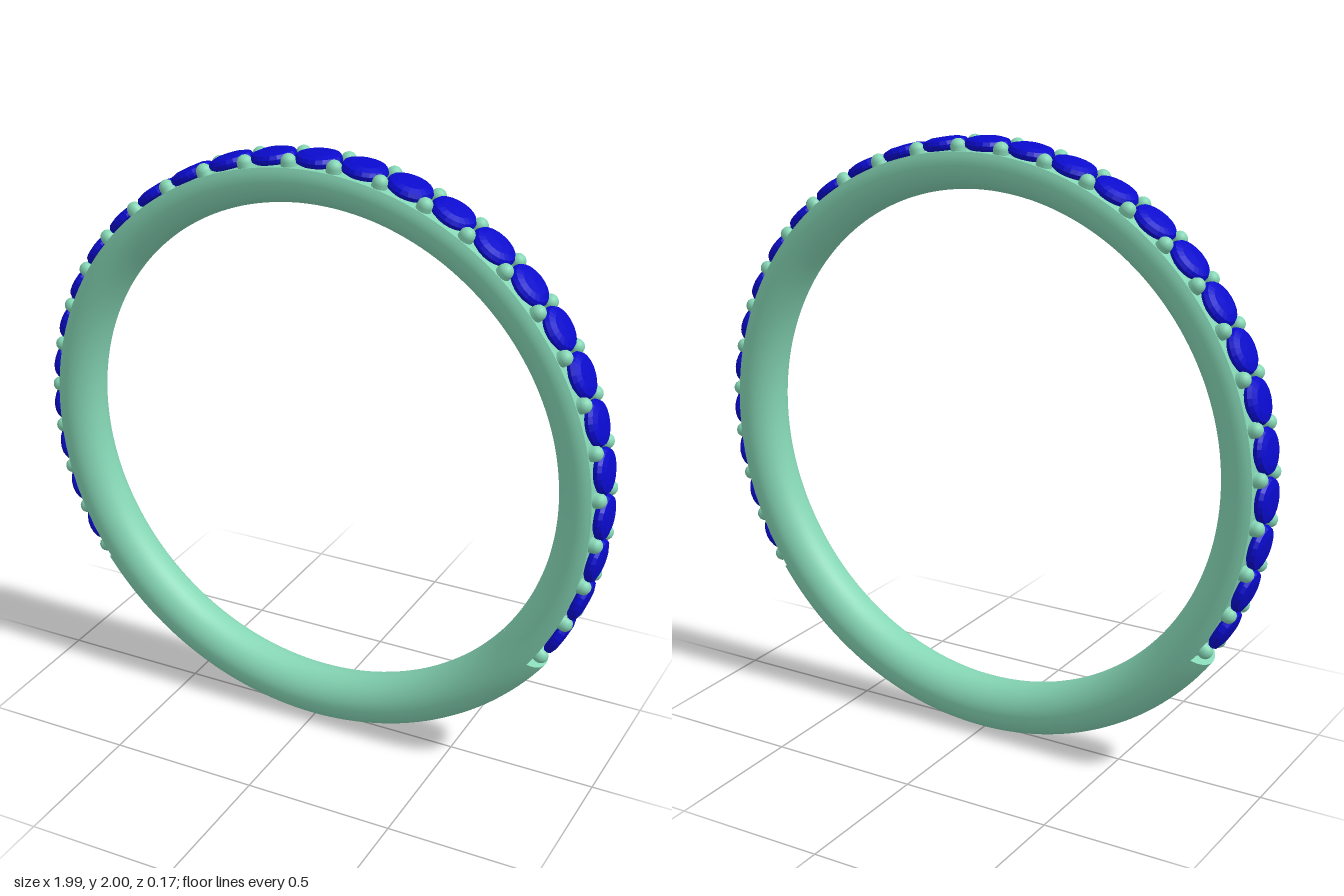
import * as THREE from 'three';

const CENTER_Y = 1.004;   // height of the ring's centre
const R = 0.917;          // centre-line radius of the band
const T = 0.087;          // radius of the band's round section
const FLOOR = 0.956;      // radius of the flat seat under the stones
const STEP = THREE.MathUtils.degToRad(9.1);
const CUT = THREE.MathUtils.degToRad(54.5); // end of the plain shank, from the bottom
const STONES = 27;

export function createModel() {
  const ring = new THREE.Group();
  ring.name = 'ring';
  const metal = new THREE.MeshStandardMaterial({ color: 0x85d6b5 });
  const capMetal = new THREE.MeshStandardMaterial({ color: 0x85d6b5, side: THREE.DoubleSide });
  const gem = new THREE.MeshStandardMaterial({ color: 0x0a0acc, flatShading: true });

  const add = (name, geometry, material, parent = ring) => {
    const mesh = new THREE.Mesh(geometry, material);
    mesh.name = name;
    parent.add(mesh);
    return mesh;
  };

  // Points on the round section between two angles (0 = outward)
  const arc = (a0, a1, n) => Array.from({ length: n + 1 }, (_, i) => {
    const a = a0 + (a1 - a0) * i / n;
    return new THREE.Vector2(R + T * Math.cos(a), T * Math.sin(a));
  });

  // Sweep a section around the ring, angle measured from the bottom
  const sweep = (points, start, length, segments) =>
    new THREE.LatheGeometry(points, segments, start, length).rotateX(Math.PI / 2);

  // Plain lower shank with a full round section
  add('plainShank', sweep(arc(-Math.PI, Math.PI, 40), -CUT, 2 * CUT, 56), metal);

  // Upper band, with its outer side cut flat as a seat for the stones
  const a0 = Math.acos((FLOOR - R) / T);
  const halfSeat = T * Math.sin(a0);
  const upper = 2 * Math.PI - 2 * CUT;
  add('stoneBand', sweep(arc(a0, 2 * Math.PI - a0, 32), CUT, upper, 128), metal);
  add('stoneSeat', sweep(
    [new THREE.Vector2(FLOOR, -halfSeat), new THREE.Vector2(FLOOR, halfSeat)],
    CUT, upper, 128), metal);

  // Small steps where the shank rises above the seat
  for (const side of [-1, 1]) {
    const step = add(side > 0 ? 'leftShankStep' : 'rightShankStep',
      new THREE.ShapeGeometry(new THREE.Shape(arc(-a0, a0, 16))).rotateX(Math.PI / 2), capMetal);
    step.rotation.z = side * CUT - Math.PI / 2;
  }

  // Round faceted stones: pavilion, girdle, crown and low table
  const stoneGeometry = new THREE.LatheGeometry([
    [0, 0.925], [0.05, 0.95], [0.072, 0.964], [0.074, 0.974],
    [0.067, 0.986], [0.045, 0.993], [0, 0.995],
  ].map(([r, y]) => new THREE.Vector2(r, y)), 20);
  const stones = new THREE.Group();
  stones.name = 'stones';
  for (let i = 0; i < STONES; i++) {
    const stone = add('stone', stoneGeometry, gem, stones);
    stone.rotation.z = (i - (STONES - 1) / 2) * STEP;
  }

  // Pairs of round-headed prongs between the stones
  const prongGeometry = new THREE.CapsuleGeometry(0.025, 0.03, 6, 14);
  const prongs = new THREE.Group();
  prongs.name = 'prongs';
  for (let i = 0; i <= STONES; i++) {
    const a = (i - STONES / 2) * STEP;
    for (const z of [-0.05, 0.05]) {
      const prong = add('prong', prongGeometry, metal, prongs);
      prong.position.set(-Math.sin(a) * 0.954, Math.cos(a) * 0.954, z);
      prong.rotation.z = a;
    }
  }

  ring.add(stones, prongs);
  ring.children.forEach((part) => { part.position.y += CENTER_Y; });
  return ring;
}
